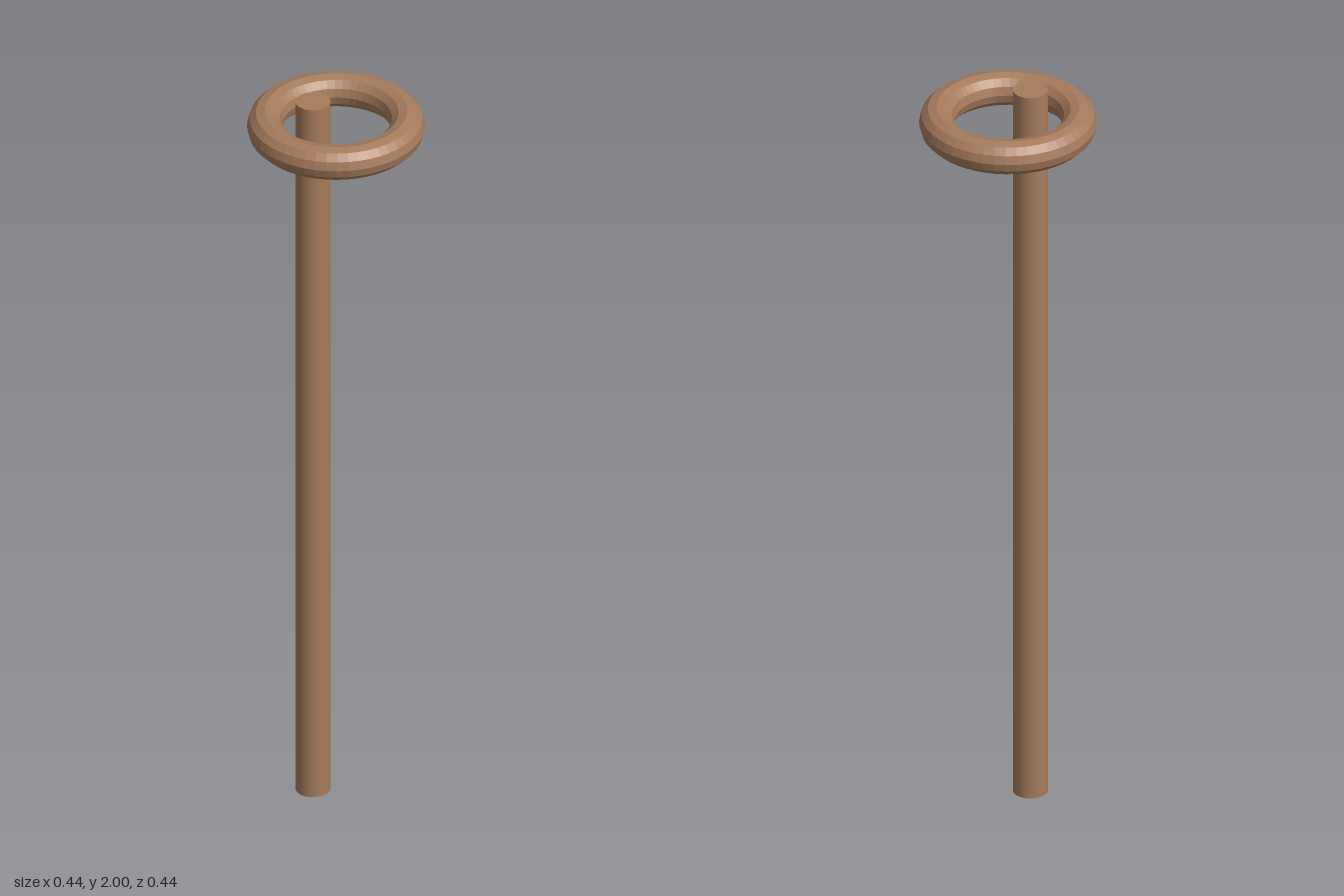
import * as THREE from 'three';

export function createModel() {
  const group = new THREE.Group();
  const wood = new THREE.MeshStandardMaterial({ color: 0xa67b5b, flatShading: true });

  // Tall upright rod, standing off-centre inside the ring
  const rod = new THREE.Mesh(new THREE.CylinderGeometry(0.044, 0.044, 2, 32), wood);
  rod.name = 'rod';
  rod.position.set(-0.06, 1, 0);

  // Horizontal ring near the top of the rod
  const ring = new THREE.Mesh(new THREE.TorusGeometry(0.178, 0.044, 12, 48), wood);
  ring.name = 'ring';
  ring.rotation.x = Math.PI / 2;
  ring.position.y = 1.92;

  group.add(rod, ring);
  return group;
}
